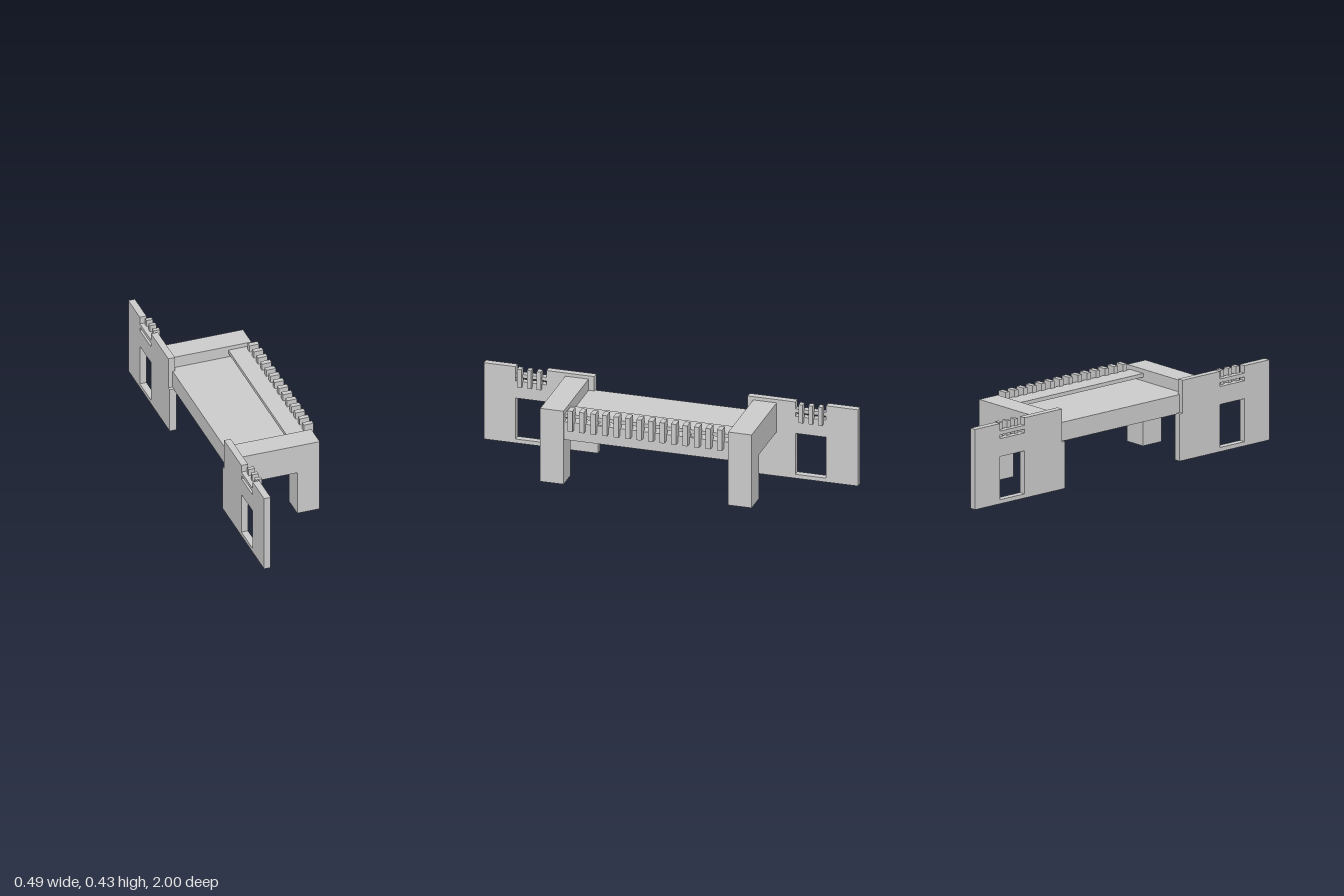
import * as THREE from 'three';

const material = new THREE.MeshStandardMaterial({ color: 0xcccccc, flatShading: true });

// Box given by its min and max along each axis
function box(name, x0, x1, y0, y1, z0, z1) {
  const mesh = new THREE.Mesh(new THREE.BoxGeometry(x1 - x0, y1 - y0, z1 - z0), material);
  mesh.position.set((x0 + x1) / 2, (y0 + y1) / 2, (z0 + z1) / 2);
  mesh.name = name;
  return mesh;
}

// Same box placed at +z or -z according to side
function sideBox(name, side, x0, x1, y0, y1, z0, z1) {
  return side > 0 ? box(name, x0, x1, y0, y1, z0, z1) : box(name, x0, x1, y0, y1, -z1, -z0);
}

// Upright panel with a window and a notch in its top, drawn in z and y
function wallPanel(side) {
  const outline = [[0.39, 0], [1, 0], [1, 0.425], [0.83, 0.425], [0.83, 0.345],
    [0.665, 0.345], [0.665, 0.425], [0.41, 0.425], [0.41, 0.25], [0.39, 0.25]];
  const window = [[0.665, 0.022], [0.665, 0.25], [0.83, 0.25], [0.83, 0.022]];
  const toPoints = (list) => list.map(([z, y]) => new THREE.Vector2(-z * side, y));
  const shape = new THREE.Shape(toPoints(outline));
  shape.holes.push(new THREE.Path(toPoints(window)));
  const geometry = new THREE.ExtrudeGeometry(shape, { depth: 0.036, bevelEnabled: false });
  geometry.rotateY(Math.PI / 2);
  geometry.translate(-0.243, 0, 0);
  const mesh = new THREE.Mesh(geometry, material);
  mesh.name = 'wallPanel';
  return mesh;
}

// Small triangular bracket between deck and shelf
function bracket(side) {
  const shape = new THREE.Shape([
    new THREE.Vector2(-0.015, 0.345), new THREE.Vector2(0.015, 0.345), new THREE.Vector2(0.015 * side, 0.38)]);
  const geometry = new THREE.ExtrudeGeometry(shape, { depth: 0.02, bevelEnabled: false });
  geometry.rotateY(Math.PI / 2);
  geometry.translate(0.18, 0, 0.25 * side);
  const mesh = new THREE.Mesh(geometry, material);
  mesh.name = 'shelfBracket';
  return mesh;
}

export function createModel() {
  const model = new THREE.Group();
  model.name = 'platform';

  // Deck and the thin shelf behind the long railing
  model.add(box('deck', -0.22, 0.21, 0.245, 0.345, -0.45, 0.45));
  model.add(box('railingShelf', 0.095, 0.2, 0.365, 0.385, -0.445, 0.445));

  // Long row of railing posts
  const railing = new THREE.Group();
  railing.name = 'longRailing';
  const count = 14;
  for (let i = 0; i < count; i++) {
    const z = -0.4 + (0.8 * i) / (count - 1);
    railing.add(box('railingPost', 0.19, 0.242, 0.308, 0.422, z - 0.0135, z + 0.0135));
  }
  model.add(railing);

  // Ends: cross beam, leg, wall panel and its short railing
  for (const side of [1, -1]) {
    const end = new THREE.Group();
    end.name = side > 0 ? 'frontEnd' : 'backEnd';
    end.add(sideBox('endBeam', side, -0.21, 0.22, 0.245, 0.407, 0.44, 0.565));
    end.add(sideBox('leg', side, 0.098, 0.22, 0, 0.245, 0.44, 0.565));
    end.add(wallPanel(side));
    end.add(sideBox('panelRail', side, -0.243, -0.21, 0.365, 0.385, 0.66, 0.835));
    for (const z of [0.7, 0.752, 0.804]) {
      end.add(sideBox('panelPost', side, -0.22, -0.186, 0.32, 0.422, z - 0.011, z + 0.011));
    }
    end.add(bracket(side));
    model.add(end);
  }
  return model;
}
